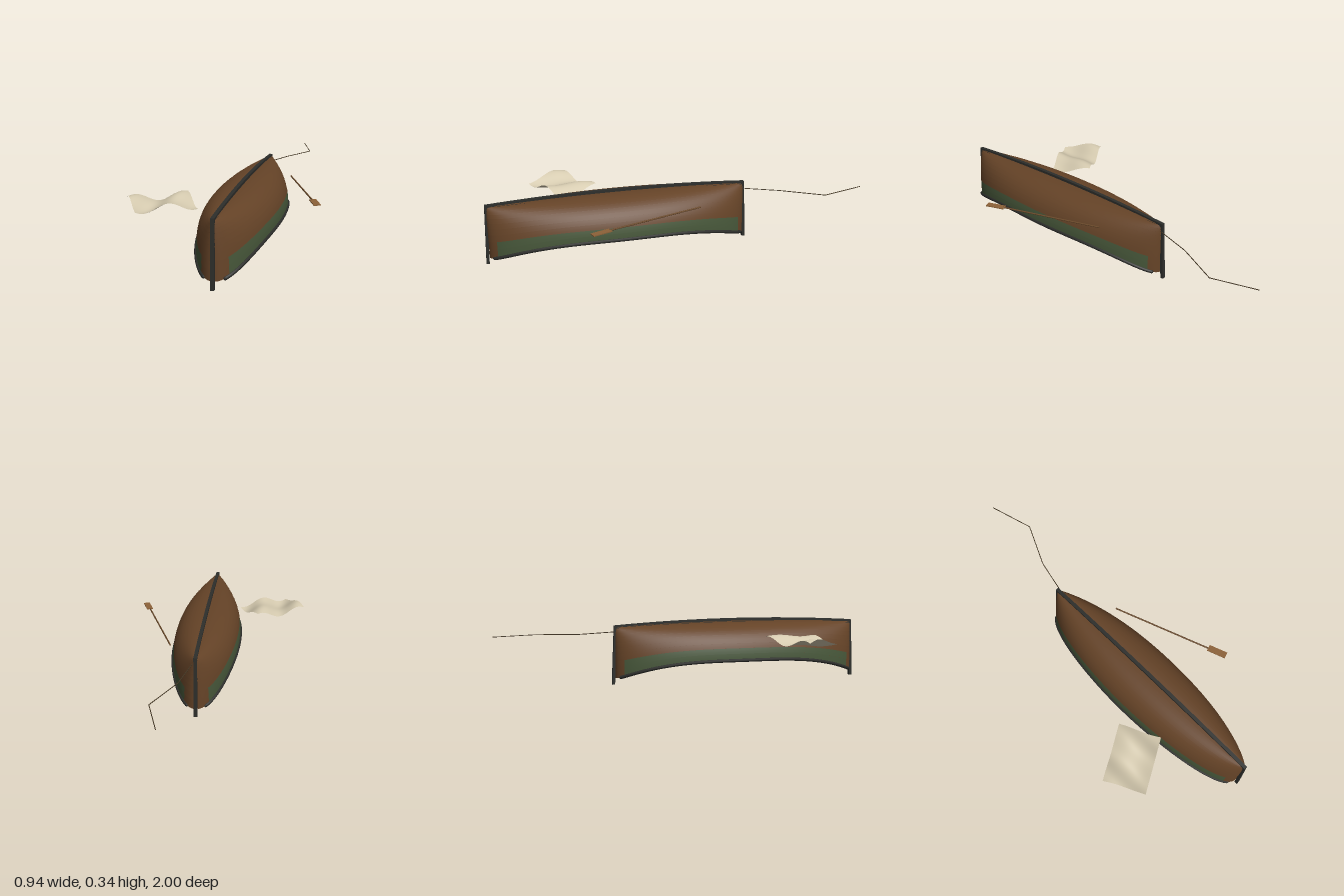
import * as THREE from 'three';

const mat = (name, color, double = true) => {
  const m = new THREE.MeshStandardMaterial({ color, side: double ? THREE.DoubleSide : THREE.FrontSide });
  m.name = name;
  return m;
};

// Boat placement and main proportions
const CX = 0.073, CZ = 0.308, HALF_LENGTH = 0.672, HALF_WIDTH = 0.18, T_END = 0.9985;
const STRAKES = 11, PAINTED = 2, PAINT_END = 0.94;

const beam = t => HALF_WIDTH * Math.sqrt(1 - t * t);
const sheer = t => 0.135 - 0.1 * Math.pow(Math.abs(t), 3.1);
const keelLine = t => 0.328 - 0.018 * t * t;

// Point on the upturned hull: u from gunwale (0) to keel (1), t from stern (-1) to bow (1)
function hullPoint(u, t, side, offset) {
  const a = u * Math.PI / 2, c = Math.max(0, Math.cos(a)), s = Math.sin(a);
  const lo = sheer(t), hi = keelLine(t);
  const x = Math.max(0, beam(t) * Math.pow(c, 0.87) + offset * c);
  const y = lo + (hi - lo) * Math.pow(s, 0.87) + offset * s;
  return new THREE.Vector3(CX + side * x, y, CZ + HALF_LENGTH * t);
}

// Grid surface from a function of (a, b) in 0..1
function surface(fn, na, nb) {
  const pos = [], idx = [];
  for (let i = 0; i <= na; i++)
    for (let j = 0; j <= nb; j++) pos.push(...fn(i / na, j / nb).toArray());
  for (let i = 0; i < na; i++)
    for (let j = 0; j < nb; j++) {
      const p = i * (nb + 1) + j, q = p + nb + 1;
      idx.push(p, q, p + 1, q, q + 1, p + 1);
    }
  const g = new THREE.BufferGeometry();
  g.setAttribute('position', new THREE.Float32BufferAttribute(pos, 3));
  g.setIndex(idx);
  g.computeVertexNormals();
  return g;
}

// Cylinder between two points
function rod(a, b, radius, material, name) {
  const d = b.clone().sub(a);
  const m = new THREE.Mesh(new THREE.CylinderGeometry(radius, radius, d.length(), 8), material);
  m.position.copy(a).add(b).multiplyScalar(0.5);
  m.quaternion.setFromUnitVectors(new THREE.Vector3(0, 1, 0), d.normalize());
  m.name = name;
  return m;
}

export function createModel() {
  const root = new THREE.Group();
  root.name = 'upturnedBoat';
  const wood = mat('hull wood', 0x654327);
  const green = mat('green paint', 0x465639);
  const trim = mat('dark trim', 0x2d2e2b, false);
  const thwartWood = mat('thwart wood', 0x5a432e, false);
  const oarWood = mat('oar shaft wood', 0x6b4a2a, false);
  const bladeWood = mat('oar blade wood', 0x8d6238, false);
  const cloth = mat('canvas', 0xd6cbb0);
  const ropeMat = mat('rope fibre', 0x453825, false);
  const add = (geo, material, name, parent = root) => {
    const m = new THREE.Mesh(geo, material);
    m.name = name;
    parent.add(m);
    return m;
  };

  // Lapped planking, outside and inside
  const hull = new THREE.Group();
  hull.name = 'hull';
  root.add(hull);
  const along = (v, t0, t1) => {
    const p0 = Math.asin(t0), p1 = Math.asin(t1);
    return Math.sin(p0 + (p1 - p0) * v);
  };
  for (const side of [-1, 1]) {
    for (let i = 0; i < STRAKES; i++) {
      const plank = (t0, t1, n, material, name) => add(surface((a, v) =>
        hullPoint((i + a) / STRAKES, along(v, t0, t1), side, 0.002 * (1 - a)), 3, n), material, name, hull);
      if (i < PAINTED) {
        plank(-PAINT_END, PAINT_END, 36, green, 'paintedStrake');
        plank(-T_END, -PAINT_END, 8, wood, 'strakeEnd');
        plank(PAINT_END, T_END, 8, wood, 'strakeEnd');
      } else plank(-T_END, T_END, 48, wood, 'strake');
    }
    add(surface((a, v) => hullPoint(a, along(v, -T_END, T_END), side, -0.006), 24, 48), wood, 'innerPlanking', hull);
    // Gunwale rail
    const rail = [];
    for (let k = 0; k <= 28; k++) rail.push(hullPoint(0, along(k / 28, -0.965, 0.965), side, 0.001));
    add(new THREE.TubeGeometry(new THREE.CatmullRomCurve3(rail), 64, 0.009, 8), trim, 'gunwale');
    for (const end of [0, 28]) {
      const cap = add(new THREE.SphereGeometry(0.009, 8, 6), trim, 'gunwaleEnd');
      cap.position.copy(rail[end]);
    }
  }

  // Keel and both stem posts in one side profile
  const s = new THREE.Shape();
  s.moveTo(0.999, 0);
  s.lineTo(0.985, 0.318);
  s.quadraticCurveTo(CZ, 0.366, -0.369, 0.318);
  s.lineTo(-0.383, 0);
  s.lineTo(-0.367, 0);
  s.lineTo(-0.355, 0.298);
  s.quadraticCurveTo(CZ, 0.336, 0.971, 0.298);
  s.lineTo(0.983, 0);
  s.closePath();
  const keel = new THREE.ExtrudeGeometry(s, { depth: 0.018, bevelEnabled: false, curveSegments: 32 });
  keel.translate(0, 0, -0.009).rotateY(-Math.PI / 2).translate(CX, 0, 0);
  add(keel, trim, 'keelAndStems');

  // Thwarts
  for (const t of [-0.45, 0, 0.45]) {
    const m = add(new THREE.BoxGeometry(2 * beam(t) - 0.016, 0.012, 0.05), thwartWood, 'thwart');
    m.position.set(CX, sheer(t) + 0.022, CZ + HALF_LENGTH * t);
  }

  // Oar resting beside the hull
  const grip = new THREE.Vector3(0.235, 0.262, -0.085), neck = new THREE.Vector3(0.422, 0.27, 0.425);
  root.add(rod(grip, neck, 0.004, oarWood, 'oarShaft'));
  const blade = add(new THREE.BoxGeometry(0.034, 0.005, 0.1), bladeWood, 'oarBlade');
  blade.position.set(0.438, 0.271, 0.463);
  blade.rotation.y = Math.atan2(neck.x - grip.x, neck.z - grip.z);

  // Rippled canvas sheet
  add(surface((a, b) => {
    const x = -0.47 + 0.265 * a + 0.108 * b, z = 0.53 - 0.15 * a + 0.195 * b;
    const y = 0.256 + 0.02 * Math.cos(2 * Math.PI * (x + 0.225) / 0.21) + 0.006 * Math.sin(2 * Math.PI * b);
    return new THREE.Vector3(x, y, z);
  }, 28, 16), cloth, 'canvasSheet');

  // Mooring rope trailing from the stern
  const rope = [[0.09, 0.282, -0.365], [0.135, 0.268, -0.55], [0.24, 0.26, -0.77], [0.175, 0.262, -1]]
    .map(p => new THREE.Vector3(...p));
  for (let i = 0; i < 3; i++) root.add(rod(rope[i], rope[i + 1], 0.0022, ropeMat, 'mooringRope'));

  return root;
}
